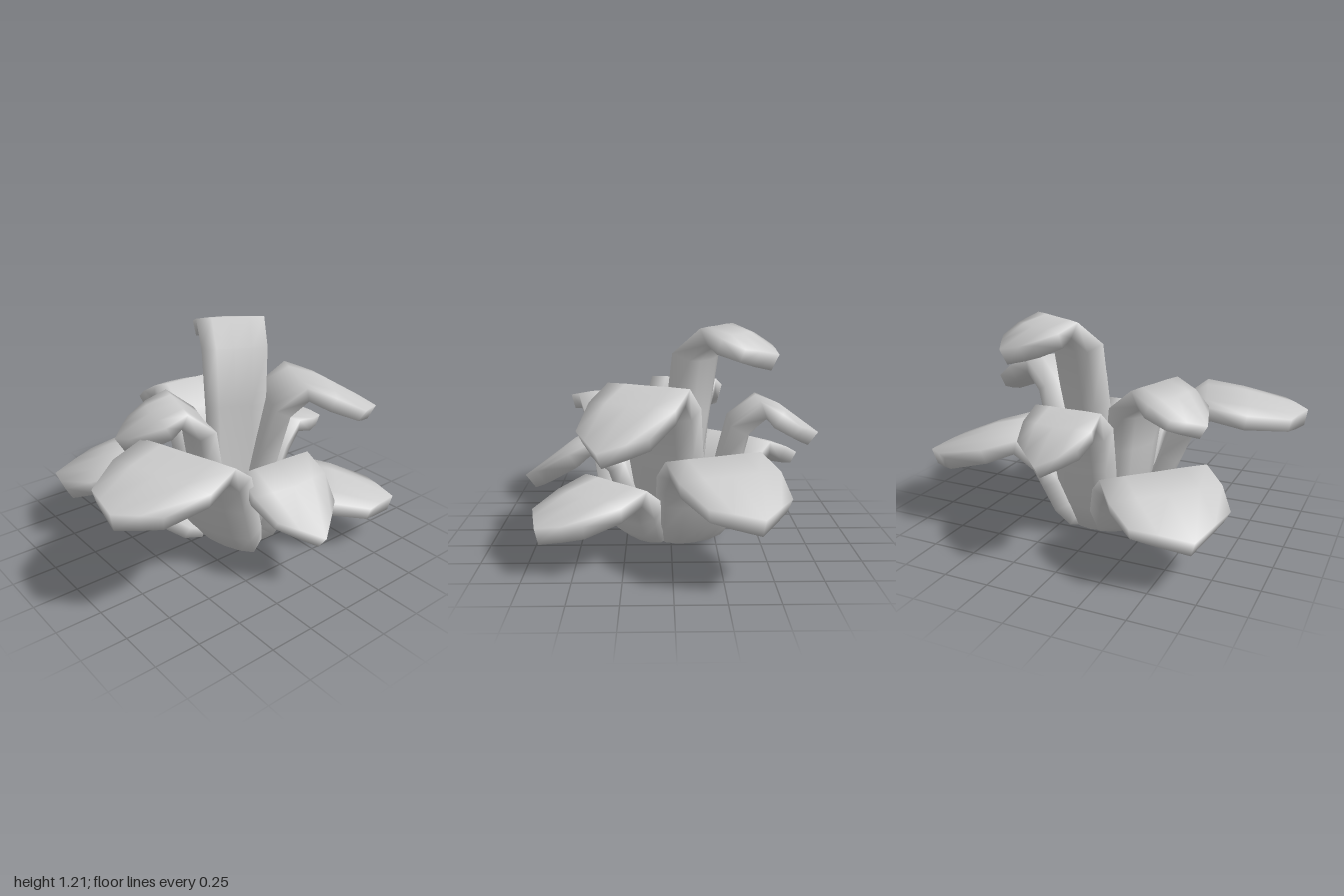
import * as THREE from 'three';

const ACROSS = [-1, -0.55, 0, 0.55, 1];
const lerp = THREE.MathUtils.lerp;

// One thick leaf: a foot, a rising stem, a bend and a blade with a pointed end.
// from: [x, z] start, dir: [x, z] heading, foot: radius of the foot,
// bend: [r, y], end: [r, y] of the blade's side corners, tip: radius of the point,
// half: half width at the bend, endHalf: half width at the side corners.
function leafGeometry({ from, dir, foot, bend, end, tip, half, endHalf }) {
  const len = Math.hypot(dir[0], dir[1]);
  const dx = dir[0] / len, dz = dir[1] / len;
  const [rb, yb] = bend, [re, ye] = end;
  const T = 0.055; // half thickness
  const top = yb - T;
  const kneeR = rb - 0.12, kneeY = top - 0.11;
  // Each section: radius, height, half width, edge lift, forward point, half thickness
  const rows = [
    [foot * 0.55, 0.045, half * 0.5, 0, 0, 0.04],
    [foot, 0.055, half * 0.68, 0.015, 0, T],
    [lerp(foot, kneeR, 0.3) + 0.015, lerp(0.055, kneeY, 0.26), half * 0.82, 0.02, 0, 0.062],
    [lerp(foot, kneeR, 0.7) + 0.005, lerp(0.055, kneeY, 0.68), half * 0.89, 0.02, 0, 0.062],
    [kneeR, kneeY, half * 0.95, 0.02, 0, 0.062],
    [rb, top, half, 0.01, 0, T],
    [lerp(rb, re, 0.45), lerp(top, ye - T, 0.33), half * 1.03, -0.01, 0.02, T],
    [re, ye - T, endHalf, 0, tip - re, 0.047],
  ];
  const slope = (ye - yb) / (re - rb);
  const positions = [], index = [];
  rows.forEach(([r, y, w, lift, point, t], i) => {
    const p = rows[Math.max(i - 1, 0)], n = rows[Math.min(i + 1, rows.length - 1)];
    const d = Math.hypot(n[0] - p[0], n[1] - p[1]);
    const nr = -(n[1] - p[1]) / d, ny = (n[0] - p[0]) / d;
    const add = (u, side) => {
      const edge = Math.abs(u);
      const thick = t * (1 - 0.2 * edge ** 3) * side + lift * u * u;
      const ahead = point * (1 - edge);
      const rr = r + nr * thick + ahead, yy = y + ny * thick + ahead * slope;
      const s = u * w * (side < 0 ? 0.93 : 1);
      positions.push(from[0] + dx * rr - dz * s, yy, from[1] + dz * rr + dx * s);
    };
    ACROSS.forEach((u) => add(u, 1));
    [...ACROSS].reverse().forEach((u) => add(u, -1));
  });
  const N = ACROSS.length * 2, last = (rows.length - 1) * N;
  // Skin between sections
  for (let i = 0; i < rows.length - 1; i++) {
    for (let j = 0; j < N; j++) {
      const a = i * N + j, b = i * N + (j + 1) % N;
      index.push(a, b, b + N, a, b + N, a + N);
    }
  }
  // End caps
  for (let j = 0; j < ACROSS.length - 1; j++) {
    const a = j, b = j + 1, c = N - 2 - j, d = N - 1 - j;
    index.push(a, c, b, a, d, c);
    index.push(last + a, last + b, last + c, last + a, last + c, last + d);
  }
  const geometry = new THREE.BufferGeometry();
  geometry.setAttribute('position', new THREE.Float32BufferAttribute(positions, 3));
  geometry.setIndex(index);
  geometry.computeVertexNormals();
  return geometry;
}

const LEAVES = {
  backRightLeaf: { from: [0, 0], dir: [-0.71, -0.71], foot: 0.2, bend: [0.57, 0.49], end: [0.86, 0.38], tip: 1.01, half: 0.3, endHalf: 0.27 },
  backLeaf: { from: [0.04, 0], dir: [0.02, -1], foot: 0.22, bend: [0.51, 0.8], end: [0.69, 0.69], tip: 0.81, half: 0.19, endHalf: 0.17 },
  backLeftLeaf: { from: [0, -0.04], dir: [0.93, -0.35], foot: 0.22, bend: [0.52, 0.57], end: [0.91, 0.46], tip: 1.05, half: 0.27, endHalf: 0.22 },
  tallLeaf: { from: [0.09, 0.01], dir: [0.5, -0.87], foot: 0.02, bend: [0.31, 1.22], end: [0.51, 1.14], tip: 0.62, half: 0.2, endHalf: 0.17 },
  leftLeaf: { from: [0.095, -0.045], dir: [0.89, 0.45], foot: 0.06, bend: [0.38, 0.93], end: [0.72, 0.77], tip: 0.86, half: 0.235, endHalf: 0.2 },
  frontLeftLeaf: { from: [0, 0], dir: [0.72, 0.69], foot: 0.23, bend: [0.45, 0.39], end: [0.83, 0.31], tip: 0.97, half: 0.24, endHalf: 0.2 },
  frontLeaf: { from: [0.04, 0], dir: [-0.05, 1], foot: 0.15, bend: [0.42, 0.6], end: [0.66, 0.45], tip: 0.81, half: 0.235, endHalf: 0.195 },
  frontRightLeaf: { from: [0.05, 0.12], dir: [-1.05, 0.31], foot: 0.16, bend: [0.54, 0.75], end: [0.98, 0.69], tip: 1.09, half: 0.3, endHalf: 0.225 },
  rightLeaf: { from: [0, 0], dir: [-0.95, -0.3], foot: 0.06, bend: [0.3, 0.87], end: [0.5, 0.77], tip: 0.61, half: 0.2, endHalf: 0.17 },
};

export function createModel() {
  const plant = new THREE.Group();
  plant.name = 'succulentPlant';
  const material = new THREE.MeshStandardMaterial({ color: 0xcccccc });
  for (const [name, spec] of Object.entries(LEAVES)) {
    const leaf = new THREE.Mesh(leafGeometry(spec), material);
    leaf.name = name;
    plant.add(leaf);
  }
  return plant;
}
